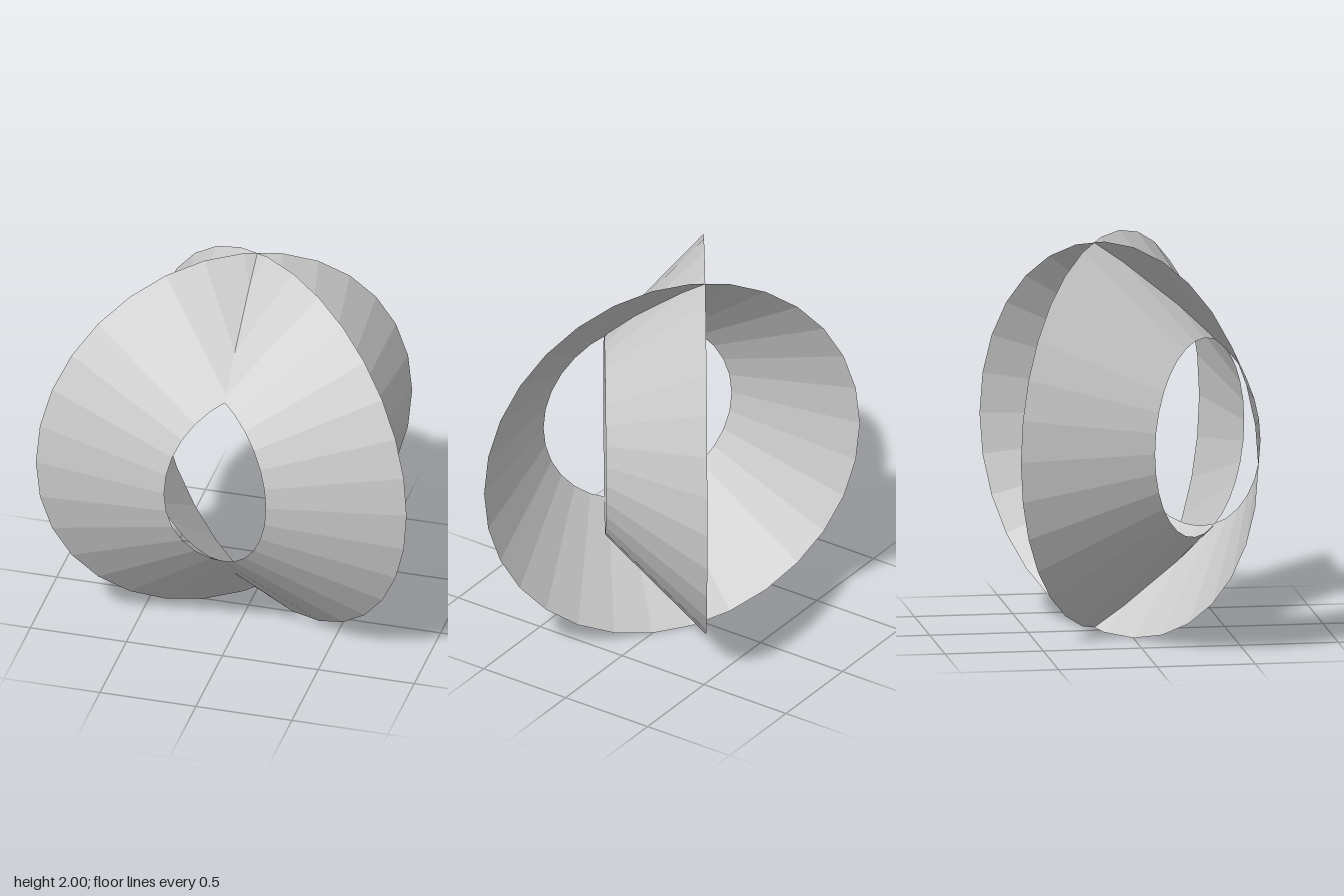
import * as THREE from 'three';

// Two identical open, faceted conical shells crossing each other.
export function createModel() {
  const group = new THREE.Group();
  const smallRadius = 0.503, largeRadius = 1.0055, depth = 0.503, sides = 30;
  const tilt = THREE.MathUtils.degToRad(35.3);
  const material = new THREE.MeshStandardMaterial({
    color: 0xcccccc, flatShading: true, side: THREE.DoubleSide,
  });

  // Shell with its narrow opening towards +z and corners on the horizontal line
  const shell = new THREE.CylinderGeometry(
    smallRadius, largeRadius, depth, sides, 1, true, Math.PI / 2);
  shell.rotateX(Math.PI / 2);

  // Mirrored pair, turned left and right about the vertical axis
  for (const [name, side] of [['leftCone', 1], ['rightCone', -1]]) {
    const cone = new THREE.Mesh(shell, material);
    cone.name = name;
    cone.rotation.y = side * tilt;
    cone.position.set(0, 1, 0.145);
    group.add(cone);
  }
  return group;
}
